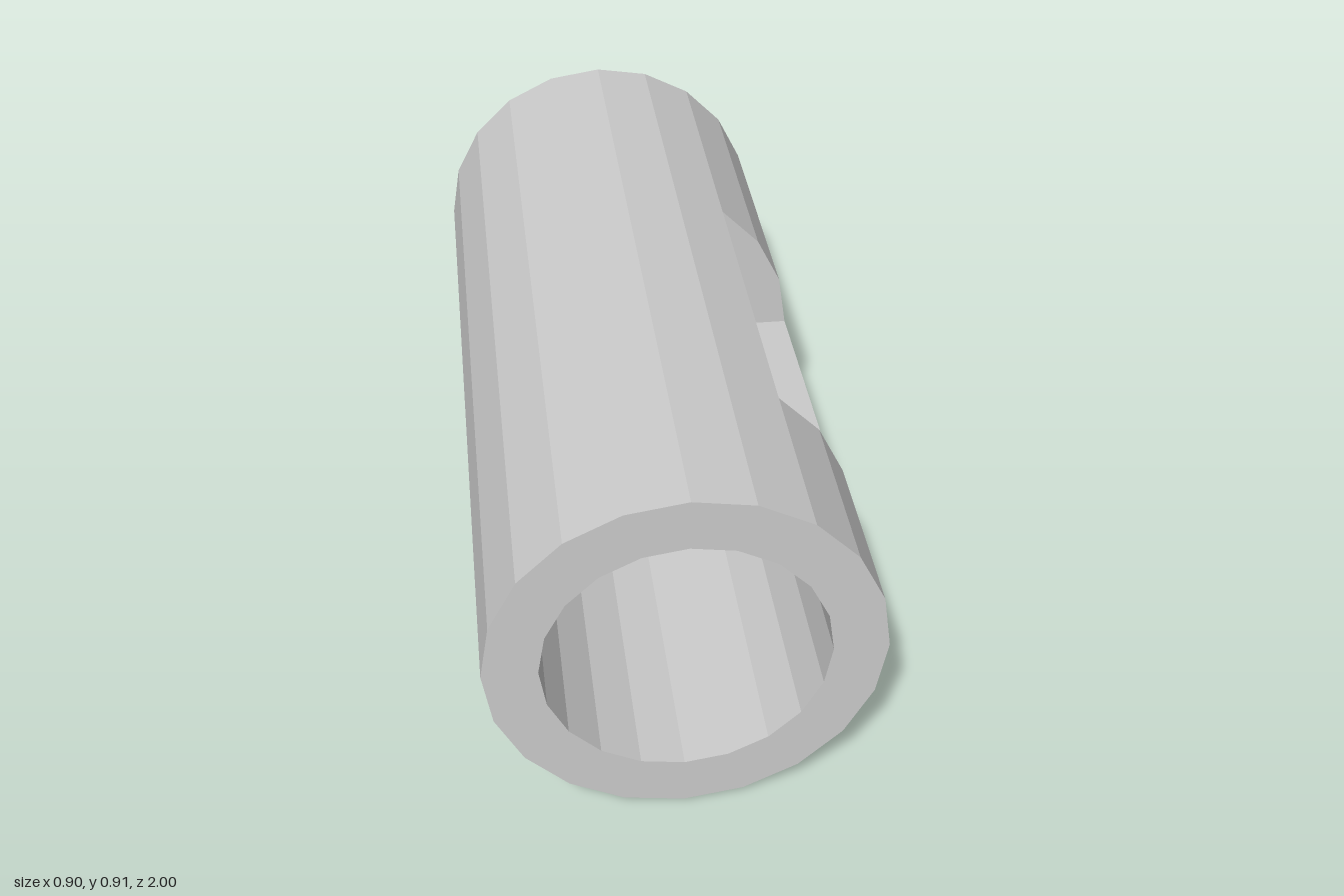
import * as THREE from 'three';

const SIDES = 20;
const OUTER = 0.45, INNER = 0.325;
const STATIONS = [1, 0.555, -0.285, -1]; // front end, window front, window back, back end
const WINDOW_SIDES = 3;                  // facets cut away, counted up from +x

// Point on the tube; the axis drops very slightly towards the back
function point(radius, side, z) {
  const a = (side % SIDES) / SIDES * Math.PI * 2;
  return [radius * Math.cos(a), 0.4555 + 0.003 * z + radius * Math.sin(a), z];
}

function tubeGeometry() {
  const positions = [];
  // Corners run counter-clockwise as seen from outside
  const quad = (a, b, c, d) => positions.push(...a, ...b, ...c, ...a, ...c, ...d);

  // Wall across the thickness of one facet, facing the front or the back
  const cap = (i, z, facesFront) => {
    const a = point(INNER, i, z), b = point(OUTER, i, z);
    const c = point(OUTER, i + 1, z), d = point(INNER, i + 1, z);
    if (facesFront) quad(a, b, c, d);
    else quad(d, c, b, a);
  };

  for (let i = 0; i < SIDES; i++) {
    // Outer and inner skins, leaving the window open
    for (let s = 0; s < 3; s++) {
      if (s === 1 && i < WINDOW_SIDES) continue;
      const front = STATIONS[s], back = STATIONS[s + 1];
      quad(point(OUTER, i, front), point(OUTER, i, back), point(OUTER, i + 1, back), point(OUTER, i + 1, front));
      quad(point(INNER, i + 1, front), point(INNER, i + 1, back), point(INNER, i, back), point(INNER, i, front));
    }
    // Ring-shaped ends
    cap(i, STATIONS[0], true);
    cap(i, STATIONS[3], false);
    // Curved end walls of the window
    if (i < WINDOW_SIDES) {
      cap(i, STATIONS[1], false);
      cap(i, STATIONS[2], true);
    }
  }

  // Sill and head of the window
  const [, zf, zb] = STATIONS;
  quad(point(INNER, 0, zf), point(OUTER, 0, zf), point(OUTER, 0, zb), point(INNER, 0, zb));
  const h = WINDOW_SIDES;
  quad(point(INNER, h, zb), point(OUTER, h, zb), point(OUTER, h, zf), point(INNER, h, zf));

  const geometry = new THREE.BufferGeometry();
  geometry.setAttribute('position', new THREE.Float32BufferAttribute(positions, 3));
  geometry.computeVertexNormals();
  return geometry;
}

export function createModel() {
  const group = new THREE.Group();
  group.name = 'slottedTube';
  const material = new THREE.MeshStandardMaterial({ color: 0xcccccc, flatShading: true });
  const tube = new THREE.Mesh(tubeGeometry(), material);
  tube.name = 'tubeWithWindow';
  group.add(tube);
  return group;
}
